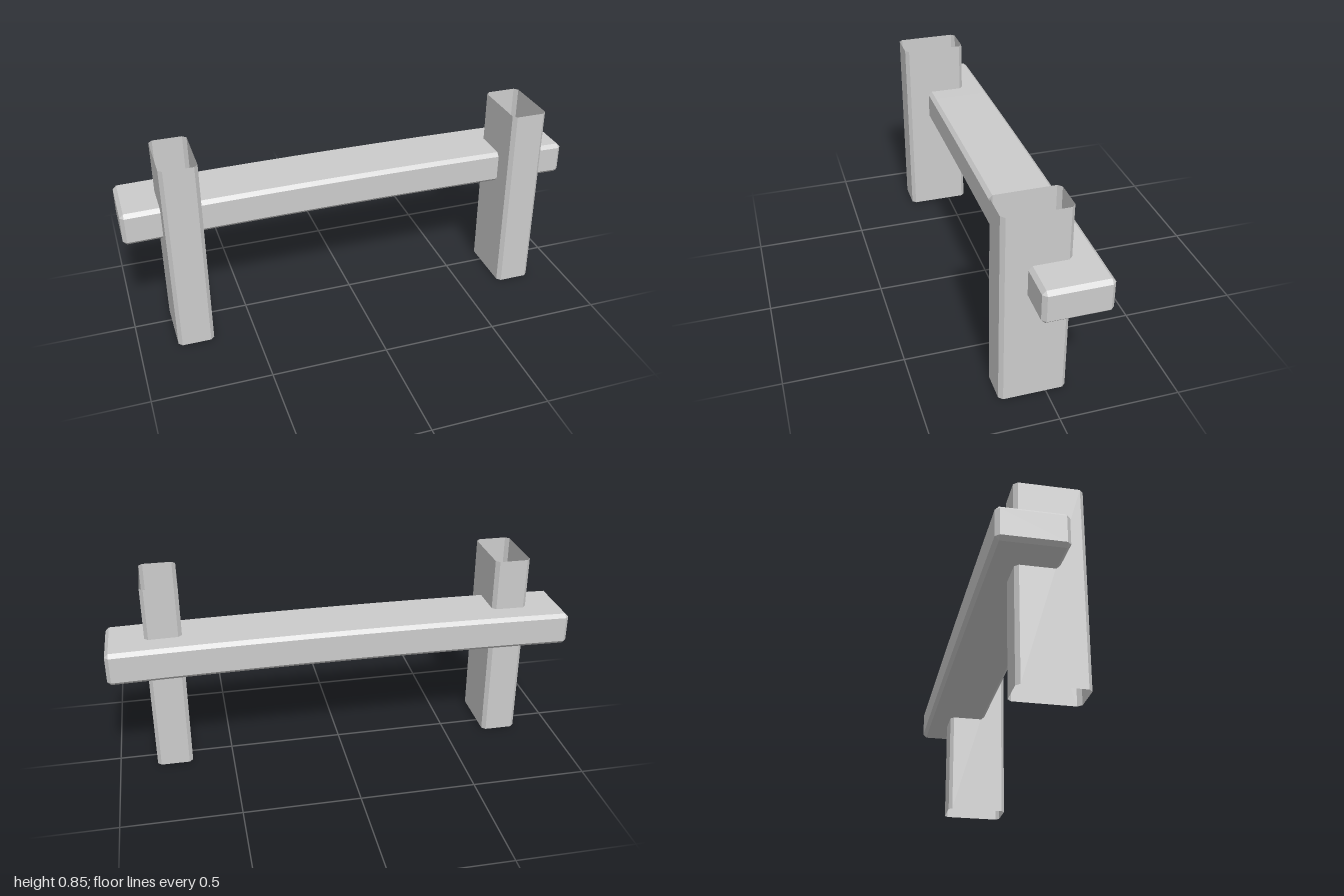
import * as THREE from 'three';

const CHAMFER = 0.016;

// Counter-clockwise rectangle with cut corners, always eight points.
function chamferedRect(u, v, c) {
  return [
    [u, -v + c], [u, v - c], [u - c, v], [-u + c, v],
    [-u, v - c], [-u, -v + c], [-u + c, -v], [u - c, -v],
  ];
}

// Skin a series of equal-length rings; optionally close both ends.
function loft(rings, capped) {
  const n = rings[0].length;
  const index = [];
  for (let i = 0; i < rings.length - 1; i++) {
    for (let j = 0; j < n; j++) {
      const k = (j + 1) % n;
      const a = i * n + j, b = i * n + k, c = b + n, d = a + n;
      index.push(a, b, c, a, c, d);
    }
  }
  if (capped) {
    const last = (rings.length - 1) * n;
    for (let j = 1; j < n - 1; j++) {
      index.push(0, j + 1, j, last, last + j, last + j + 1);
    }
  }
  const geometry = new THREE.BufferGeometry();
  geometry.setAttribute('position', new THREE.Float32BufferAttribute(rings.flat(2), 3));
  geometry.setIndex(index);
  geometry.computeVertexNormals();
  return geometry;
}

export function createModel() {
  const group = new THREE.Group();
  const material = new THREE.MeshStandardMaterial({
    color: 0xcccccc, flatShading: true, side: THREE.DoubleSide,
  });

  // Rail: bevelled beam with a slight upward bow
  const section = (x, halfY, halfZ, c) => {
    const midY = 0.551 + 0.011 * (1 - x * x);
    return chamferedRect(halfY, halfZ, c).map(([y, z]) => [x, midY + y, z - 0.052]);
  };
  const halfY = 0.072, halfZ = 0.14, inner = 1 - CHAMFER;
  const rings = [section(-1, halfY - CHAMFER, halfZ - CHAMFER, 0)];
  const steps = 10;
  for (let i = 0; i <= steps; i++) {
    rings.push(section(inner * (2 * i / steps - 1), halfY, halfZ, CHAMFER));
  }
  rings.push(section(1, halfY - CHAMFER, halfZ - CHAMFER, 0));
  const rail = new THREE.Mesh(loft(rings, true), material);
  rail.name = 'rail';
  group.add(rail);

  // Posts: open-ended tubes with cut corners
  const outline = chamferedRect(0.14, 0.078, CHAMFER);
  const postGeometry = loft([0, 0.853].map(y => outline.map(([z, x]) => [x, y, z])), false);
  for (const [name, side] of [['leftPost', 1], ['rightPost', -1]]) {
    const post = new THREE.Mesh(postGeometry, material);
    post.name = name;
    post.position.set(side * 0.759, 0, 0.053);
    group.add(post);
  }
  return group;
}
